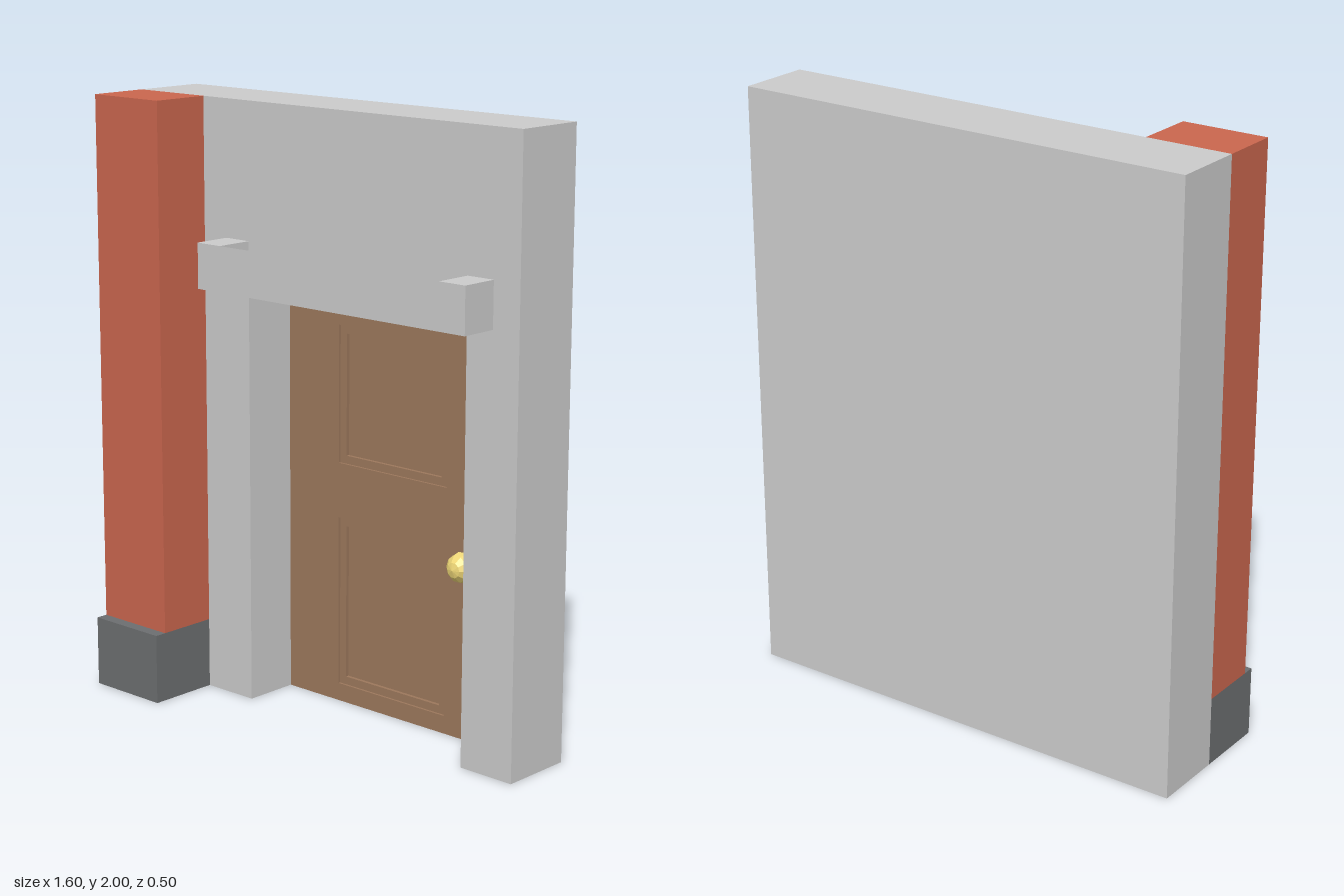
import * as THREE from 'three';

const mat = (color, side = THREE.FrontSide) =>
  new THREE.MeshStandardMaterial({ color, side, flatShading: true });

export function createModel() {
  const model = new THREE.Group();
  const grey = mat(0xcccccc);
  const red = mat(0xca664e);
  const dark = mat(0x6c6e70);
  const brown = mat(0x9c785c);
  const brass = mat(0xf0d878);

  const add = (parent, name, geometry, material) => {
    const mesh = new THREE.Mesh(geometry, material);
    mesh.name = name;
    parent.add(mesh);
    return mesh;
  };

  // box given by its limits on each axis
  const box = (parent, name, [x0, x1], [y0, y1], [z0, z1], material) =>
    add(parent, name, new THREE.BoxGeometry(x1 - x0, y1 - y0, z1 - z0), material)
      .position.set((x0 + x1) / 2, (y0 + y1) / 2, (z0 + z1) / 2);

  const rect = (Type, [x0, x1], [y0, y1]) => new Type([
    new THREE.Vector2(x0, y0), new THREE.Vector2(x1, y0),
    new THREE.Vector2(x1, y1), new THREE.Vector2(x0, y1),
  ]);

  // flat outline extruded between two z values
  const slab = (parent, name, shape, [z0, z1], material) =>
    add(parent, name, new THREE.ExtrudeGeometry(shape, { depth: z1 - z0, bevelEnabled: false }), material)
      .position.z = z0;

  const doorX = [-0.31, 0.60];
  const doorTop = 1.40;
  const doorZ = -0.19;
  const backZ = -0.22;

  // wall: solid back plus a front layer cut around the doorway
  const wall = new THREE.Group();
  wall.name = 'wall';
  model.add(wall);
  box(wall, 'wallBack', [-0.8, 0.8], [0, 2], [-0.25, backZ], grey);
  const surround = new THREE.Shape([
    [-0.8, 0], [doorX[0], 0], [doorX[0], doorTop], [doorX[1], doorTop],
    [doorX[1], 0], [0.8, 0], [0.8, 2], [-0.8, 2],
  ].map(([x, y]) => new THREE.Vector2(x, y)));
  slab(wall, 'wallFront', surround, [backZ, 0], grey);

  // lintel: two solid ends joined by a front and a soffit, open on top
  const lintel = new THREE.Group();
  lintel.name = 'lintel';
  model.add(lintel);
  const lintelY = [doorTop, 1.55];
  const lintelZ = 0.13;
  box(lintel, 'lintelRightEnd', [-0.41, doorX[0]], lintelY, [0, lintelZ], grey);
  box(lintel, 'lintelLeftEnd', [doorX[1], 0.70], lintelY, [0, lintelZ], grey);
  const open = mat(0xcccccc, THREE.DoubleSide);
  const width = doorX[1] - doorX[0];
  const midX = (doorX[0] + doorX[1]) / 2;
  add(lintel, 'lintelFront', new THREE.PlaneGeometry(width, 0.15), open)
    .position.set(midX, 1.475, lintelZ);
  const soffit = add(lintel, 'lintelSoffit', new THREE.PlaneGeometry(width, lintelZ), open);
  soffit.rotation.x = Math.PI / 2;
  soffit.position.set(midX, doorTop, lintelZ / 2);

  // door with two stepped, sunken panels
  const door = new THREE.Group();
  door.name = 'door';
  model.add(door);
  const panels = [[0.06, 0.635], [0.82, 1.28]];
  const panelX = [-0.09, 0.37];
  const leaf = rect(THREE.Shape, doorX, [0, doorTop]);
  for (const y of panels) {
    leaf.holes.push(rect(THREE.Path, panelX, y));
    const inset = ([a, b]) => [a + 0.027, b - 0.027];
    const moulding = rect(THREE.Shape, panelX, y);
    moulding.holes.push(rect(THREE.Path, inset(panelX), inset(y)));
    slab(door, 'panelMoulding', moulding, [backZ, doorZ - 0.008], brown);
    box(door, 'panel', inset(panelX), inset(y), [backZ, doorZ - 0.02], brown);
  }
  slab(door, 'doorLeaf', leaf, [backZ, doorZ], brown);

  // round knob with its pole facing forward
  const knob = add(door, 'doorKnob', new THREE.SphereGeometry(0.05, 10, 6), brass);
  knob.rotation.x = Math.PI / 2;
  knob.position.set(0.475, 0.59, -0.145);

  // pillar on a deeper base
  box(model, 'pillar', [-0.8, -0.51], [0.235, 2], [0, 0.205], red);
  box(model, 'pillarBase', [-0.8, -0.51], [0, 0.235], [0, 0.245], dark);

  return model;
}
